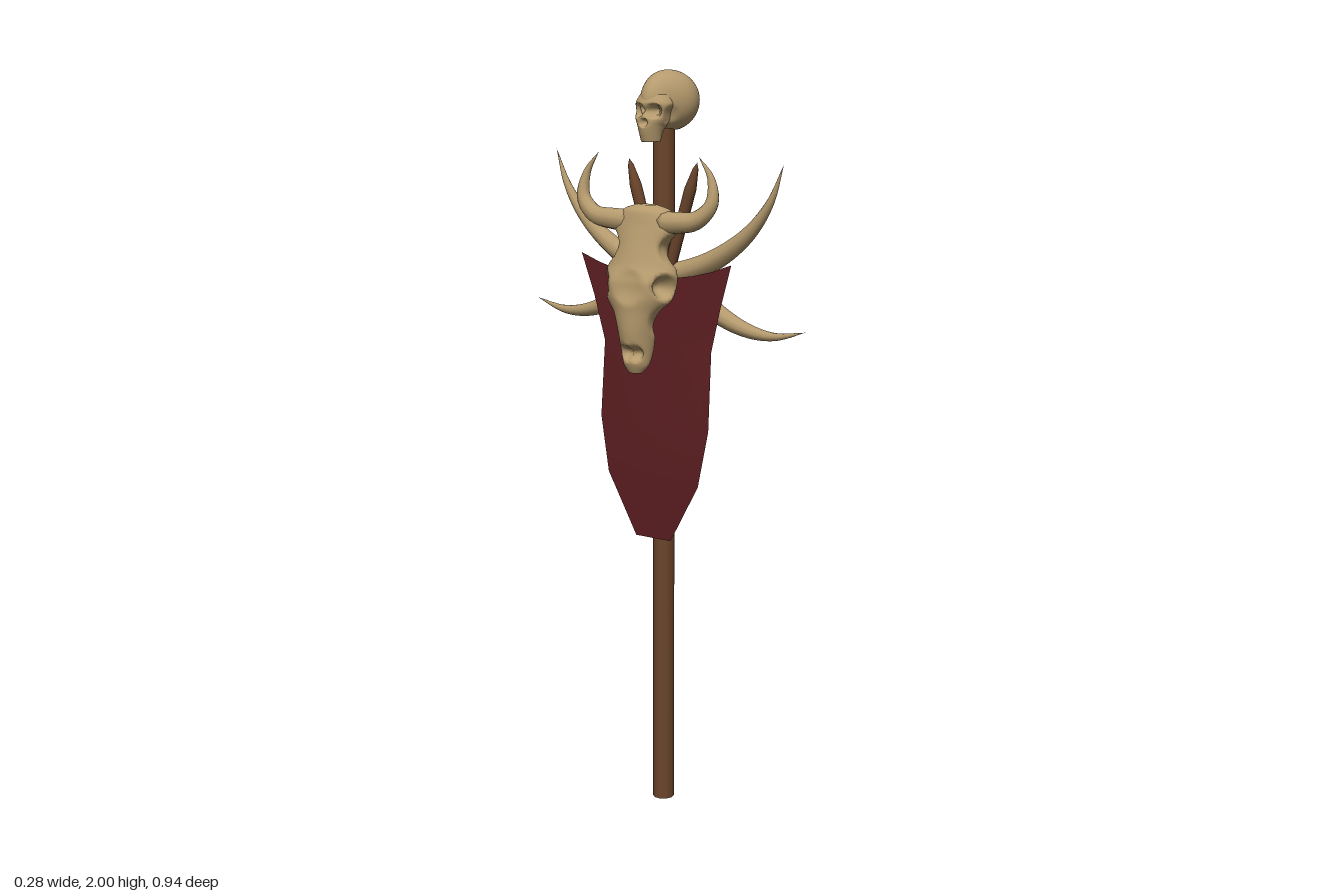
import * as THREE from 'three';
import { mergeVertices } from 'three/addons/utils/BufferGeometryUtils.js';

const V = (x, y, z) => new THREE.Vector3(x, y, z);
const material = (name, color, side = THREE.FrontSide) =>
  Object.assign(new THREE.MeshStandardMaterial({ color, side }), { name });

function mesh(name, geometry, mat) {
  const m = new THREE.Mesh(geometry, mat);
  m.name = name;
  return m;
}

// Weld a surface so its normals are smooth across seams
function weld(geometry) {
  geometry.deleteAttribute('uv');
  geometry.deleteAttribute('normal');
  const g = mergeVertices(geometry, 1e-5);
  g.computeVertexNormals();
  return g;
}

// Move every vertex by a rule
function reshape(geometry, rule) {
  const pos = geometry.attributes.position, p = V(0, 0, 0);
  for (let i = 0; i < pos.count; i++) {
    p.fromBufferAttribute(pos, i);
    rule(p, i);
    pos.setXYZ(i, p.x, p.y, p.z);
  }
  return geometry;
}

// Tube along a curve whose radius follows radius(u); both ends close
function taperedTube(points, radius, steps = 24, sides = 10) {
  const curve = new THREE.CatmullRomCurve3(points);
  const g = new THREE.TubeGeometry(curve, steps, 1, sides);
  reshape(g, (p, i) => {
    const ring = Math.floor(i / (sides + 1)), u = ring / steps;
    const c = curve.getPointAt(u);
    p.sub(c).multiplyScalar(ring === 0 || ring === steps ? 0 : radius(u)).add(c);
  });
  return weld(g);
}

// Skin stacked rings [y, front x, back x, half width], from top to bottom
function loft(rings, steps = 48, sides = 40, pinch = 0.15) {
  const profile = new THREE.CatmullRomCurve3(rings.map(r => V(r[0], r[1], r[2])), false, 'catmullrom', 0.4);
  const width = new THREE.CatmullRomCurve3(rings.map(r => V(r[3], 0, 0)), false, 'catmullrom', 0.4);
  const pos = [], index = [];
  for (let i = 0; i <= steps + 2; i++) {
    const t = Math.min(Math.max((i - 1) / steps, 0), 1);
    const cap = i === 0 || i === steps + 2 ? 0 : 1;
    const { x: y, y: front, z: back } = profile.getPoint(t);
    const w = width.getPoint(t).x;
    for (let j = 0; j < sides; j++) {
      const a = j / sides * Math.PI * 2, c = Math.cos(a), s = Math.sin(a);
      pos.push((front + back) / 2 + cap * c * (back - front) / 2, y, cap * w * s * (1 + pinch * c));
      if (i < steps + 2) {
        const p = i * sides + j, q = i * sides + (j + 1) % sides;
        index.push(p, q, p + sides, q, q + sides, p + sides);
      }
    }
  }
  const g = new THREE.BufferGeometry();
  g.setAttribute('position', new THREE.Float32BufferAttribute(pos, 3));
  g.setIndex(index);
  return g;
}

// Press a smooth hollow of radius r at centre c by the vector push
function dent(p, c, r, push) {
  const d = p.distanceTo(c) / r;
  if (d < 1) p.addScaledVector(push, (1 - d * d) ** 1.2);
}

// Rounded skull that caps the pole, facing -x
function poleSkull(bone) {
  const group = new THREE.Group();
  group.name = 'poleSkull';
  const hollows = p => {
    for (const s of [1, -1]) {
      dent(p, V(-0.052, 1.898, s * 0.025), 0.021, V(0.035, 0, 0));
      dent(p, V(-0.012, 1.885, s * 0.058), 0.03, V(0, 0, -s * 0.012));
    }
    dent(p, V(-0.063, 1.868, 0), 0.013, V(0.022, 0, 0));
  };
  const cranium = reshape(new THREE.SphereGeometry(1, 64, 48), p => {
    const width = THREE.MathUtils.lerp(0.053, 0.076, THREE.MathUtils.smoothstep(p.x, -0.9, 0.35));
    p.set(0.044 + p.x * 0.097, Math.max(1.92 + p.y * 0.08, 1.845), p.z * width);
    hollows(p);
  });
  const face = reshape(loft([
    [1.94, -0.045, 0.02, 0.042], [1.918, -0.056, 0.02, 0.053], [1.898, -0.053, 0.02, 0.054],
    [1.878, -0.063, 0.02, 0.05], [1.86, -0.066, 0.012, 0.038], [1.842, -0.063, 0, 0.031],
    [1.818, -0.056, -0.006, 0.026]]), hollows);
  face.computeVertexNormals();
  group.add(mesh('cranium', weld(cranium), bone), mesh('face', face, bone));
  group.position.z = 0.01;
  return group;
}

// Long horned animal skull hung on the front of the banner
function hornedSkull(bone) {
  const group = new THREE.Group();
  group.name = 'hornedSkull';
  const skull = reshape(loft([
    [1.655, -0.055, -0.025, 0.03], [1.64, -0.075, -0.005, 0.07], [1.6, -0.085, 0, 0.095],
    [1.55, -0.1, -0.005, 0.088], [1.5, -0.117, -0.015, 0.098], [1.46, -0.14, -0.02, 0.108],
    [1.42, -0.142, -0.025, 0.098], [1.38, -0.14, -0.035, 0.072], [1.33, -0.138, -0.04, 0.055],
    [1.28, -0.13, -0.05, 0.045], [1.24, -0.12, -0.068, 0.037], [1.217, -0.11, -0.085, 0.02]], 72), p => {
    for (const s of [1, -1]) {
      dent(p, V(-0.095, 1.448, s * 0.095), 0.036, V(0.02, 0, -s * 0.05)); // eye socket
      dent(p, V(-0.045, 1.54, s * 0.09), 0.05, V(0, 0, -s * 0.03)); // temple
      dent(p, V(-0.07, 1.36, s * 0.065), 0.05, V(0, 0, -s * 0.016)); // cheek
      dent(p, V(-0.125, 1.272, s * 0.014), 0.024, V(0.03, 0, 0)); // nostril
    }
    dent(p, V(-0.142, 1.45, 0), 0.05, V(0.016, 0, 0)); // brow groove
    dent(p, V(-0.03, 1.33, 0), 0.08, V(-0.025, 0, 0)); // palate
  });
  skull.computeVertexNormals();
  group.add(mesh('animalSkull', skull, bone));
  for (const s of [1, -1]) {
    const path = [[-0.042, 1.61, 0.04], [-0.047, 1.613, 0.1], [-0.047, 1.622, 0.155],
      [-0.04, 1.665, 0.196], [-0.032, 1.73, 0.19], [-0.032, 1.785, 0.153]];
    group.add(mesh(s > 0 ? 'leftHorn' : 'rightHorn',
      taperedTube(path.map(([x, y, z]) => V(x, y, s * z)), u => 0.03 * (1 - u ** 1.7)), bone));
  }
  group.rotation.y = 0.1;
  return group;
}

// Hanging cloth: rows of [y, min z, max z, x, slope of x along z]
function bannerCloth() {
  const rows = [[1.51, -0.23, 0.25, -0.012, 0.04], [1.4, -0.185, 0.222, -0.017, 0.04],
    [1.28, -0.145, 0.2, -0.025, 0.03], [1.075, -0.15, 0.215, -0.045, -0.03],
    [0.925, -0.12, 0.19, -0.053, -0.05], [0.763, -0.02, 0.095, -0.055, 0]];
  const g = new THREE.PlaneGeometry(2, 1, 8, rows.length - 1);
  reshape(g, (p, i) => {
    const row = Math.floor(i / 9), [y, z0, z1, x, slope] = rows[row];
    const z = THREE.MathUtils.lerp(z0, z1, (p.x + 1) / 2);
    const sag = row === 0 ? 0.05 * (1 - p.x * p.x) : 0;
    p.set(x + slope * z, y - sag, z);
  });
  g.computeVertexNormals();
  return g;
}

export function createModel() {
  const model = new THREE.Group();
  model.name = 'boneTotem';
  const bone = material('bone', 0xb59a6d);
  const wood = material('wood', 0x6b452b);
  const cloth = material('redCloth', 0x5a1d20, THREE.DoubleSide);

  // Pole
  const pole = mesh('pole', new THREE.CylinderGeometry(0.029, 0.029, 1.87, 10), wood);
  pole.position.set(0.028, 0.935, 0.01);
  model.add(pole, poleSkull(bone), hornedSkull(bone), mesh('banner', bannerCloth(), cloth));

  // Tusks and stakes fan out in mirrored pairs
  const tusks = {
    upperTusk: [[1.455, -0.025], [1.472, 0.06], [1.515, 0.17], [1.59, 0.28], [1.675, 0.35], [1.775, 0.393]],
    lowerTusk: [[1.475, -0.015], [1.435, 0.08], [1.375, 0.18], [1.34, 0.28], [1.333, 0.37], [1.355, 0.468]]
  };
  for (const s of [1, -1]) {
    const side = s > 0 ? 'Left' : 'Right';
    for (const [name, path] of Object.entries(tusks)) {
      const points = path.map(([y, z]) => V(0.042 - 0.065 * s * z, y, 0.004 + s * z));
      model.add(mesh(name + side, taperedTube(points, u => 0.033 * (1 - u ** 1.8), 28), bone));
    }
    const stake = [V(0.027, 1.42, 0.007 + s * 0.004), V(0.027, 1.765, 0.007 + s * 0.112)];
    model.add(mesh('stake' + side,
      taperedTube(stake, u => u < 0.8 ? 0.016 : 0.016 - (u - 0.8) * 0.055, 20, 8), wood));
  }
  return model;
}
